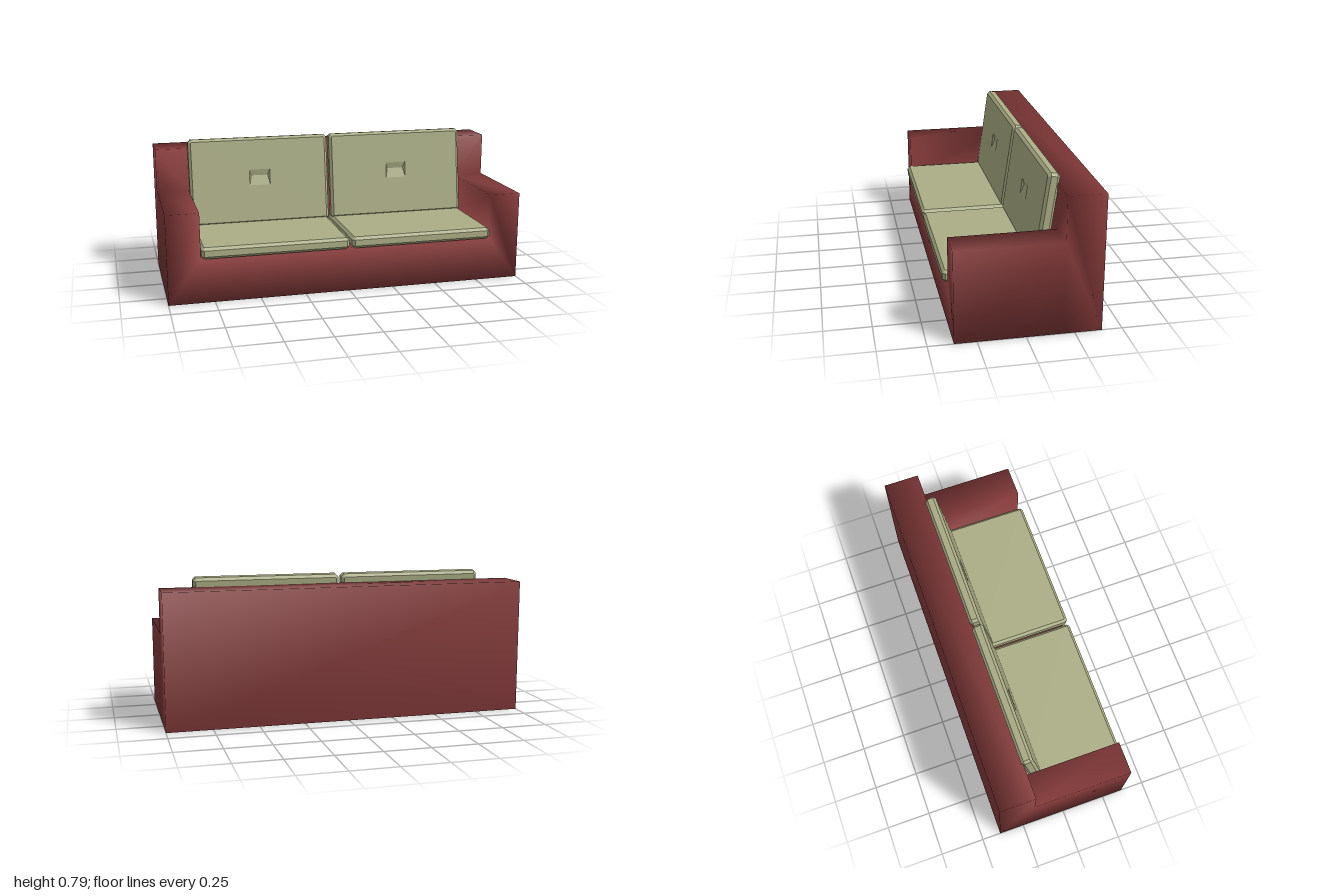
import * as THREE from 'three';

const red = new THREE.MeshStandardMaterial({ color: 0x853a3a });
const green = new THREE.MeshStandardMaterial({ color: 0xaaad85, flatShading: true });
const greenThin = new THREE.MeshStandardMaterial({ color: 0xaaad85, flatShading: true, side: THREE.DoubleSide });

// Welded sofa shell: U-shaped seat and arms running into a taller back
function shellGeometry() {
  const u = [[-1, 0], [1, 0], [1, 0.497], [0.82, 0.497], [0.82, 0.25], [-0.82, 0.25], [-0.82, 0.497], [-1, 0.497]];
  const front = 0.367, mid = -0.192, rear = -0.393, top = 0.74;
  const points = [
    ...u.map(([x, y]) => [x, y, front]), // 0-7
    ...u.map(([x, y]) => [x, y, mid]), // 8-15
    [1, top, mid], [-1, top, mid], // 16-17
    [-1, 0, rear], [1, 0, rear], [1, top, rear], [-1, top, rear], // 18-21
  ];
  const faces = [
    [0, 1, 4, 5], [1, 2, 3, 4], [0, 5, 6, 7], // front of base and arms
    [13, 12, 11, 14], [14, 11, 16, 17], [15, 14, 17], [11, 10, 16], // front of the back
    [17, 16, 20, 21], [19, 18, 21, 20], [8, 18, 19, 9], // top, rear, underside of the back
    [19, 20, 16, 10, 9], [18, 8, 15, 17, 21], // ends of the back
  ];
  for (let i = 0; i < 8; i++) {
    const j = (i + 1) % 8;
    faces.push([i, i + 8, j + 8, j]);
  }
  const index = [];
  for (const f of faces) {
    for (let k = 1; k < f.length - 1; k++) index.push(f[0], f[k], f[k + 1]);
  }
  const geo = new THREE.BufferGeometry();
  geo.setAttribute('position', new THREE.Float32BufferAttribute(points.flat(), 3));
  geo.setIndex(index);
  geo.computeVertexNormals();
  return geo;
}

// Chamfered slab centred on the origin, with an optional hole for a dimple
function cushionGeometry(w, h, t, dimple) {
  const b = 0.015, c = 0.006;
  const x = w / 2 - b, y = h / 2 - b;
  const shape = new THREE.Shape([
    [-x + c, -y], [x - c, -y], [x, -y + c], [x, y - c], [x - c, y], [-x + c, y], [-x, y - c], [-x, -y + c],
  ].map(([px, py]) => new THREE.Vector2(px, py)));
  if (dimple) {
    const dx = dimple.w / 2, y0 = dimple.y - dimple.h / 2, y1 = dimple.y + dimple.h / 2;
    shape.holes.push(new THREE.Path([
      new THREE.Vector2(-dx, y0), new THREE.Vector2(-dx, y1), new THREE.Vector2(dx, y1), new THREE.Vector2(dx, y0),
    ]));
  }
  const geo = new THREE.ExtrudeGeometry(shape, {
    depth: t - 2 * b, bevelEnabled: true, bevelSize: b, bevelThickness: b, bevelSegments: 1,
  });
  return geo.translate(0, 0, b - t / 2);
}

// Shallow V-shaped floor of the dimple
function dimpleGeometry({ w, h, y }, z) {
  const geo = new THREE.PlaneGeometry(w, h, 1, 2);
  const pos = geo.attributes.position;
  for (const i of [2, 3]) {
    pos.setY(i, 0.011);
    pos.setZ(i, -0.012);
  }
  geo.translate(0, y, z);
  geo.computeVertexNormals();
  return geo;
}

export function createModel() {
  const model = new THREE.Group();
  model.name = 'sofa';

  const add = (parent, name, geo, material) => {
    const mesh = new THREE.Mesh(geo, material);
    mesh.name = name;
    parent.add(mesh);
    return mesh;
  };

  add(model, 'sofaShell', shellGeometry(), red);

  const width = 0.81, thickness = 0.064;
  const dimple = { w: 0.12, h: 0.09, y: 0.018 };
  const seatGeo = cushionGeometry(width, 0.57, thickness).rotateX(-Math.PI / 2);
  const backGeo = cushionGeometry(width, 0.5, thickness, dimple);
  const dimpleGeo = dimpleGeometry(dimple, thickness / 2);

  for (const [side, s] of [['left', 1], ['right', -1]]) {
    // Seat cushion, slightly overhanging the front
    add(model, side + 'SeatCushion', seatGeo, green).position.set(s * 0.413, 0.279, 0.108);

    // Back cushion leaning on the back
    const back = new THREE.Group();
    back.name = side + 'BackCushion';
    add(back, side + 'BackPad', backGeo, green);
    add(back, side + 'BackDimple', dimpleGeo, greenThin);
    back.position.set(s * 0.413, 0.544, -0.141);
    back.rotation.x = -0.14;
    model.add(back);
  }
  return model;
}
